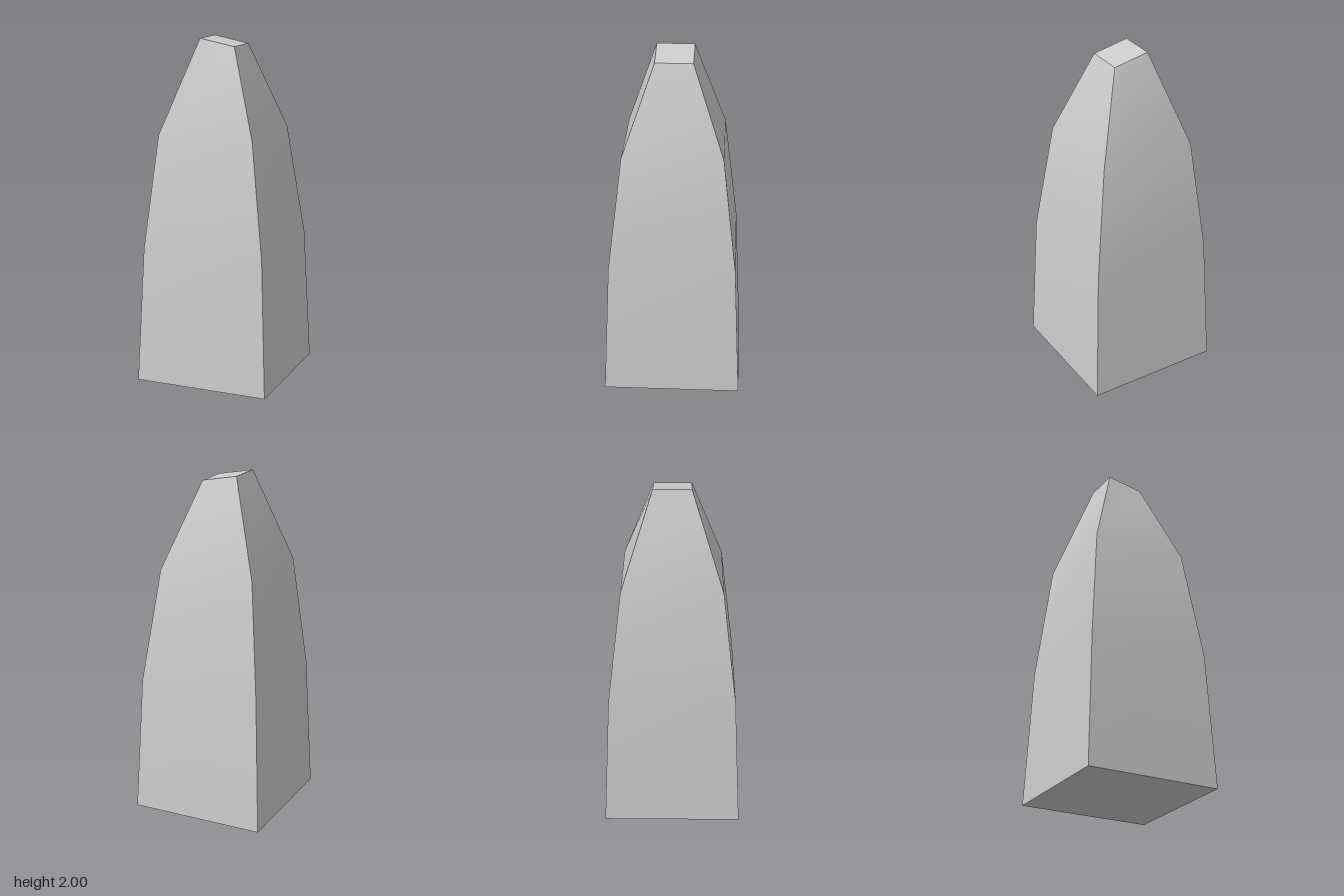
import * as THREE from 'three';

// Rings from bottom to top: [left x, right x, half depth, y at left x, y at right x]
const RINGS = [
  [-0.4, 0.4, 0.4, 0, 0],
  [-0.366, 0.364, 0.365, 0.8, 0.8],
  [-0.3, 0.273, 0.287, 1.46, 1.46],
  [-0.118, 0.093, 0.108, 2, 1.96],
];

// Four corners of a ring, counter-clockwise seen from above
const corners = ([x0, x1, z, y0, y1]) => [
  [x0, y0, z], [x1, y1, z], [x1, y1, -z], [x0, y0, -z],
];

// Strip of quads between pairs of points; normals stay smooth along the strip
function strip(pairs) {
  const geometry = new THREE.BufferGeometry();
  const index = [];
  for (let i = 0; i < pairs.length - 1; i++) {
    const a = i * 2;
    index.push(a, a + 1, a + 3, a, a + 3, a + 2);
  }
  geometry.setAttribute('position', new THREE.Float32BufferAttribute(pairs.flat(2), 3));
  geometry.setIndex(index);
  geometry.computeVertexNormals();
  return geometry;
}

export function createModel() {
  const stone = new THREE.MeshStandardMaterial({ color: 0xcccccc });
  stone.name = 'light grey stone';

  const model = new THREE.Group();
  model.name = 'taperedPillar';
  const add = (name, pairs) => {
    const mesh = new THREE.Mesh(strip(pairs), stone);
    mesh.name = name;
    model.add(mesh);
  };

  // Four curved sides with sharp corners between them
  const rings = RINGS.map(corners);
  ['frontSide', 'leftSide', 'backSide', 'rightSide'].forEach((name, i) => {
    add(name, rings.map((ring) => [ring[i], ring[(i + 1) % 4]]));
  });

  // Slanted tip and flat base
  const tip = rings[rings.length - 1];
  add('slantedTip', [[tip[0], tip[1]], [tip[3], tip[2]]]);
  const base = rings[0];
  add('base', [[base[3], base[2]], [base[0], base[1]]]);

  return model;
}
